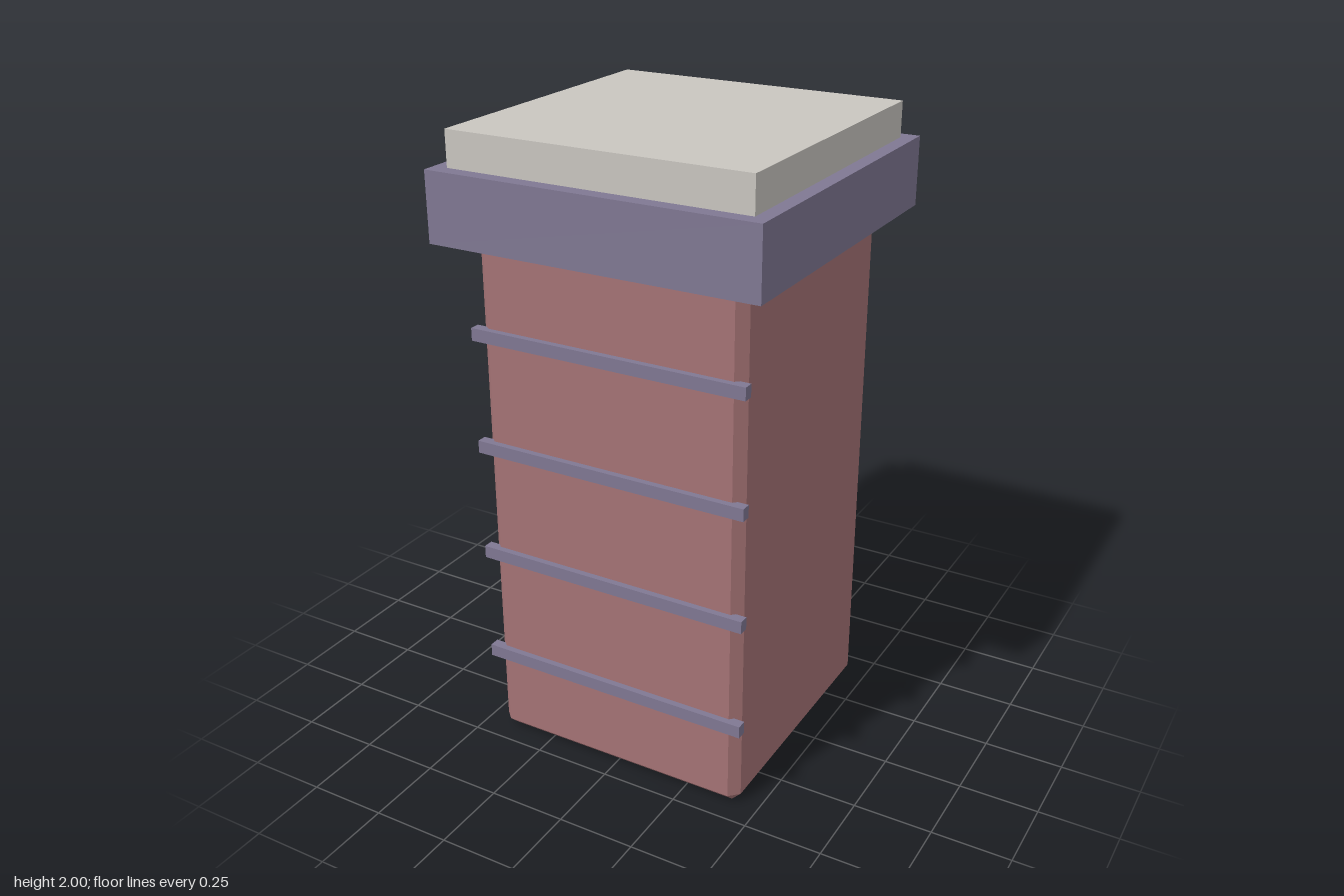
import * as THREE from 'three';
import { ConvexGeometry } from 'three/addons/geometries/ConvexGeometry.js';

function material(name, color) {
  const m = new THREE.MeshStandardMaterial({ color });
  m.name = name;
  return m;
}

// Box with every edge cut by a flat chamfer c
function chamferedBox(w, h, d, c) {
  const half = [w / 2, h / 2, d / 2];
  const points = [];
  for (const sx of [-1, 1]) for (const sy of [-1, 1]) for (const sz of [-1, 1]) {
    for (let full = 0; full < 3; full++) {
      const [x, y, z] = half.map((v, i) => (i === full ? v : v - c));
      points.push(new THREE.Vector3(sx * x, sy * y, sz * z));
    }
  }
  return new ConvexGeometry(points);
}

export function createModel() {
  const model = new THREE.Group();
  model.name = 'pillar';
  const brick = material('dusty red', 0xa57375);
  const trim = material('slate purple', 0x807893);
  const stone = material('pale stone', 0xc9c6c0);

  function add(name, geometry, mat, y, z = 0) {
    const mesh = new THREE.Mesh(geometry, mat);
    mesh.name = name;
    mesh.position.set(0, y, z);
    model.add(mesh);
  }

  // Shaft, running up inside the collar
  const shaftHeight = 1.78;
  add('shaft', chamferedBox(0.874, shaftHeight, 0.874, 0.03), brick, shaftHeight / 2);

  // Collar and cap slab
  add('collar', new THREE.BoxGeometry(1.054, 0.215, 1.054), trim, 1.7825);
  add('cap', new THREE.BoxGeometry(0.964, 0.11, 0.964), stone, 1.945);

  // Four slats across the front
  const slat = new THREE.BoxGeometry(0.906, 0.04, 0.032);
  for (let i = 0; i < 4; i++) add('frontSlat' + (i + 1), slat, trim, 0.296 + i * 0.365, 0.441);

  return model;
}
